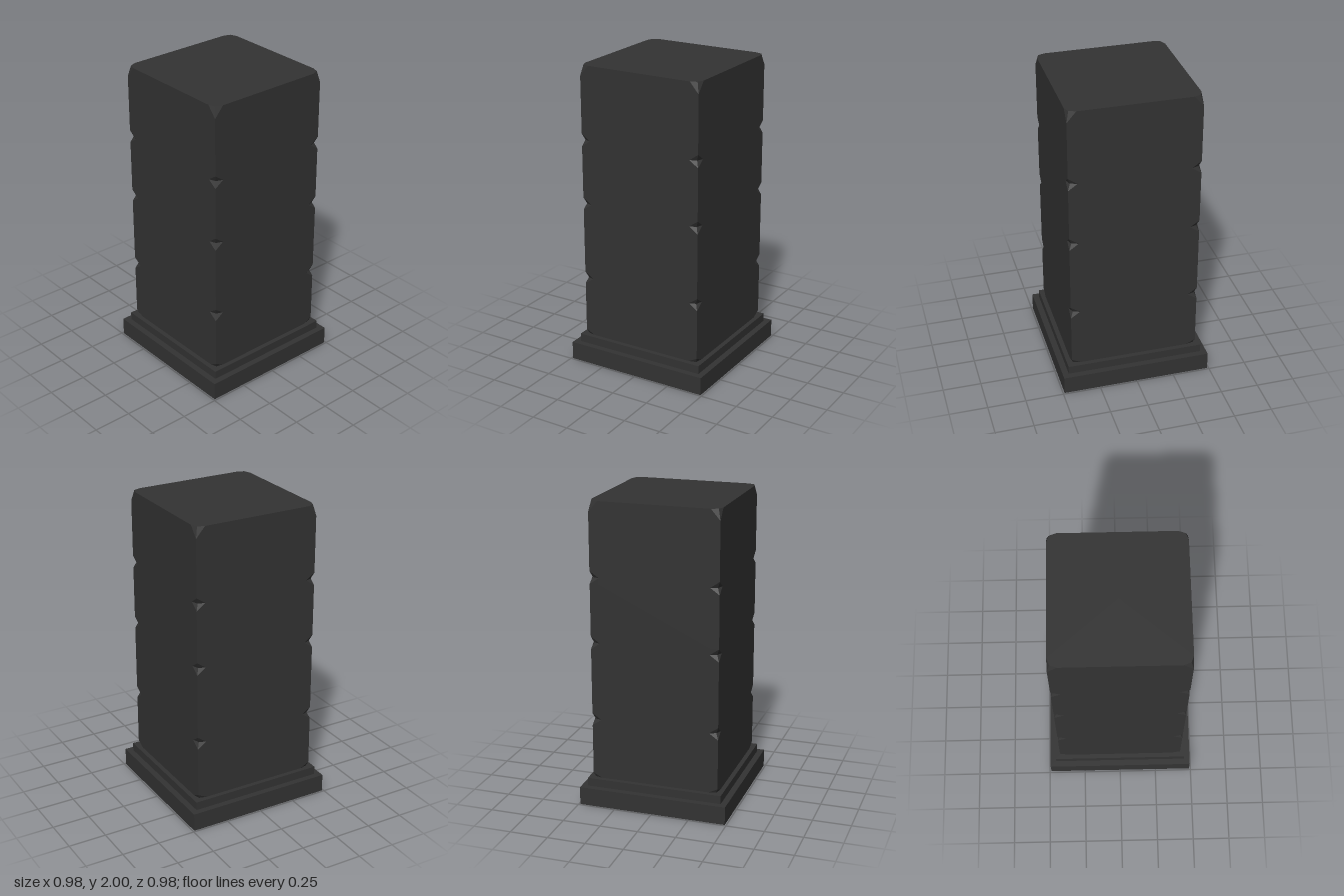
import * as THREE from 'three';

const HALF = 0.42;  // half width of the shaft
const CUT = 0.36;   // where the corner chips begin on each face

// Cross-section of the shaft: three points per corner, the middle one pulled in
function section(y, inset) {
  const points = [];
  for (let k = 0; k < 4; k++) {
    const c = HALF - inset;
    for (let [x, z] of [[CUT, HALF], [c, c], [HALF, CUT]]) {
      for (let r = 0; r < k; r++) [x, z] = [z, -x];
      points.push([x, y, z]);
    }
  }
  return points;
}

// Square shaft with worn ends and V-shaped chips along its four edges
function shaftGeometry() {
  const levels = [[0.175, 0.012], [0.205, 0]];
  for (const y of [0.578, 1.092, 1.517]) {
    levels.push([y - 0.042, 0], [y, 0.016], [y + 0.042, 0]);
  }
  levels.push([1.93, 0], [2, 0.016]);
  const rings = levels.map(([y, inset]) => section(y, inset));
  const positions = [];
  const tri = (...corners) => corners.forEach((p) => positions.push(...p));

  for (let j = 0; j < rings.length - 1; j++) {
    const lowerChipped = levels[j][1] > 0;
    for (let i = 0; i < 12; i++) {
      const n = (i + 1) % 12;
      const a = rings[j][i], b = rings[j][n], c = rings[j + 1][n], d = rings[j + 1][i];
      // Split each quad so the chips stay as small facets in flat faces
      const cornerFirst = i % 3 === 1;
      if (cornerFirst === lowerChipped) {
        tri(a, b, d); tri(b, c, d);
      } else {
        tri(a, b, c); tri(a, c, d);
      }
    }
  }

  // Flat top
  const top = rings[rings.length - 1];
  top.forEach((p, i) => tri([0, 2, 0], p, top[(i + 1) % 12]));

  const geometry = new THREE.BufferGeometry();
  geometry.setAttribute('position', new THREE.Float32BufferAttribute(positions, 3));
  geometry.computeVertexNormals();
  return geometry;
}

export function createModel() {
  const group = new THREE.Group();
  group.name = 'pillar';
  const stone = new THREE.MeshStandardMaterial({ color: 0x333333, flatShading: true });

  const add = (name, geometry, y = 0) => {
    const mesh = new THREE.Mesh(geometry, stone);
    mesh.name = name;
    mesh.position.y = y;
    group.add(mesh);
  };

  // Stepped base
  add('plinth', new THREE.BoxGeometry(0.98, 0.12, 0.98), 0.06);
  add('baseStep', new THREE.BoxGeometry(0.9, 0.055, 0.9), 0.1475);
  add('shaft', shaftGeometry());
  return group;
}
